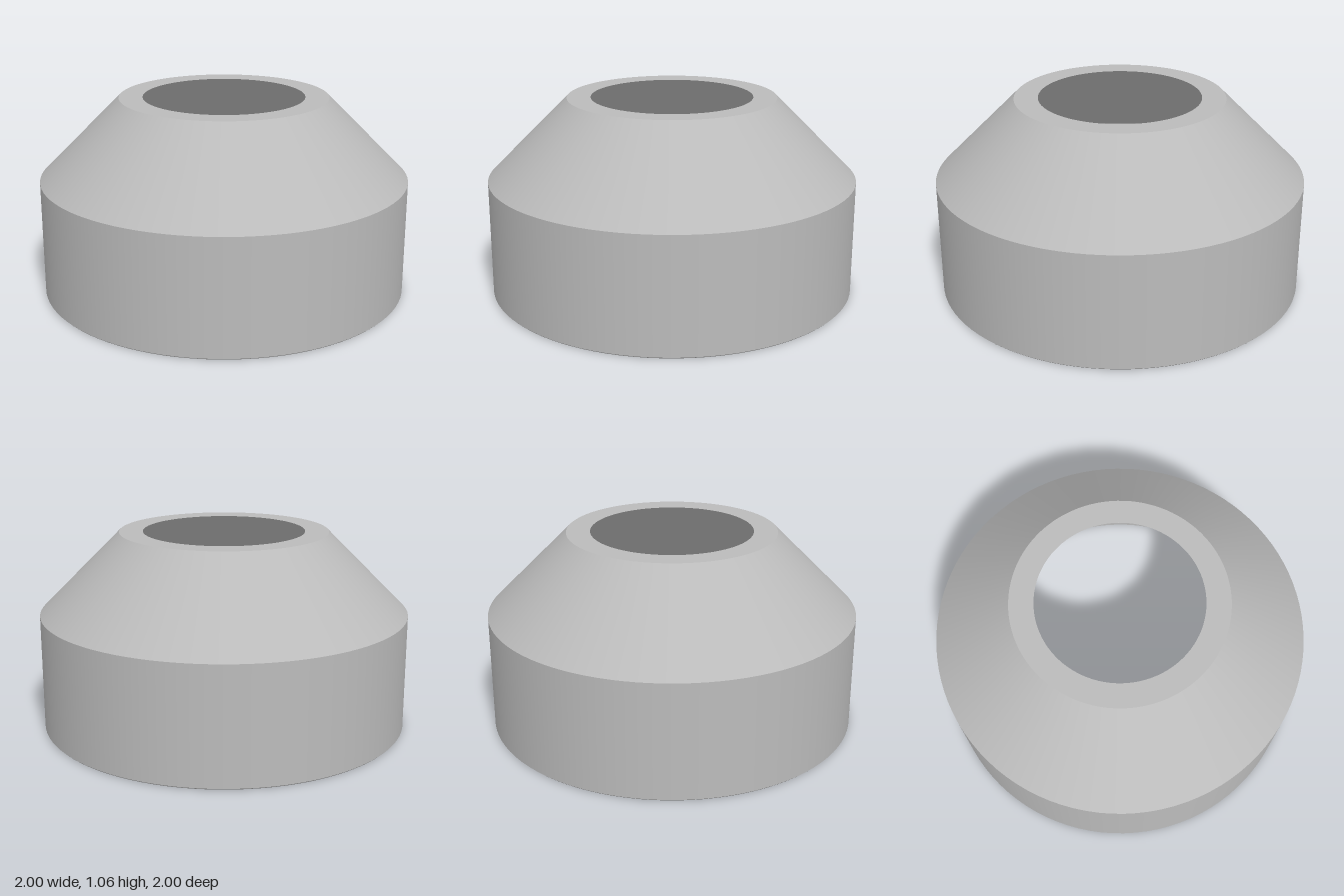
import * as THREE from 'three';
import { toCreasedNormals } from 'three/addons/utils/BufferGeometryUtils.js';

const SEGMENTS = 96;

// Helical ridge with a trapezoid section, tapering into the wall at both ends
function threadGeometry({ radius, depth, pitch, turns, yStart }) {
  const section = [[0, 0.034], [1, 0.008], [1, -0.008], [0, -0.034]]; // [height, y offset]
  const n = section.length, steps = turns * SEGMENTS;
  const positions = [], index = [];
  for (let i = 0; i <= steps; i++) {
    const t = i / SEGMENTS, a = t * Math.PI * 2;
    const taper = Math.min(1, t * 8, (turns - t) * 8);
    for (const [h, dy] of section) {
      const r = radius - h * depth * taper;
      positions.push(Math.sin(a) * r, yStart + pitch * t + dy, Math.cos(a) * r);
    }
    if (i === steps) break;
    for (let j = 0; j < n - 1; j++) {
      const p = i * n + j, q = p + n;
      index.push(p, q, p + 1, q + 1, p + 1, q);
    }
  }
  const g = new THREE.BufferGeometry();
  g.setAttribute('position', new THREE.Float32BufferAttribute(positions, 3));
  g.setIndex(index);
  return toCreasedNormals(g, 0.35);
}

export function createModel() {
  const model = new THREE.Group();
  model.name = 'threadedCap';
  const grey = new THREE.MeshStandardMaterial({ color: 0xbbbbbb });
  grey.name = 'plainGrey';

  const add = (name, geometry) => {
    const mesh = new THREE.Mesh(geometry, grey);
    mesh.name = name;
    model.add(mesh);
  };

  // Closed profile, one surface of revolution per straight run so edges stay sharp
  const wall = 0.942;
  const profile = [
    ['bottomBevel', 0.994, 0],
    ['outerWall', 1, 0.006],
    ['outerCone', 1, 0.627],
    ['topRim', 0.565, 1.062],
    ['innerCone', 0.437, 1.062],
    ['innerWall', wall, 0.557],
    ['innerChamfer', wall, 0.018],
    ['bottomRim', 0.962, 0],
  ];
  profile.forEach(([name, r, y], i) => {
    const [, r2, y2] = profile[(i + 1) % profile.length];
    add(name, new THREE.LatheGeometry(
      [new THREE.Vector2(r, y), new THREE.Vector2(r2, y2)], SEGMENTS));
  });

  // Internal screw thread
  add('screwThread', threadGeometry({
    radius: wall + 0.001, depth: 0.03, pitch: 0.094, turns: 5, yStart: 0.053,
  }));

  return model;
}
